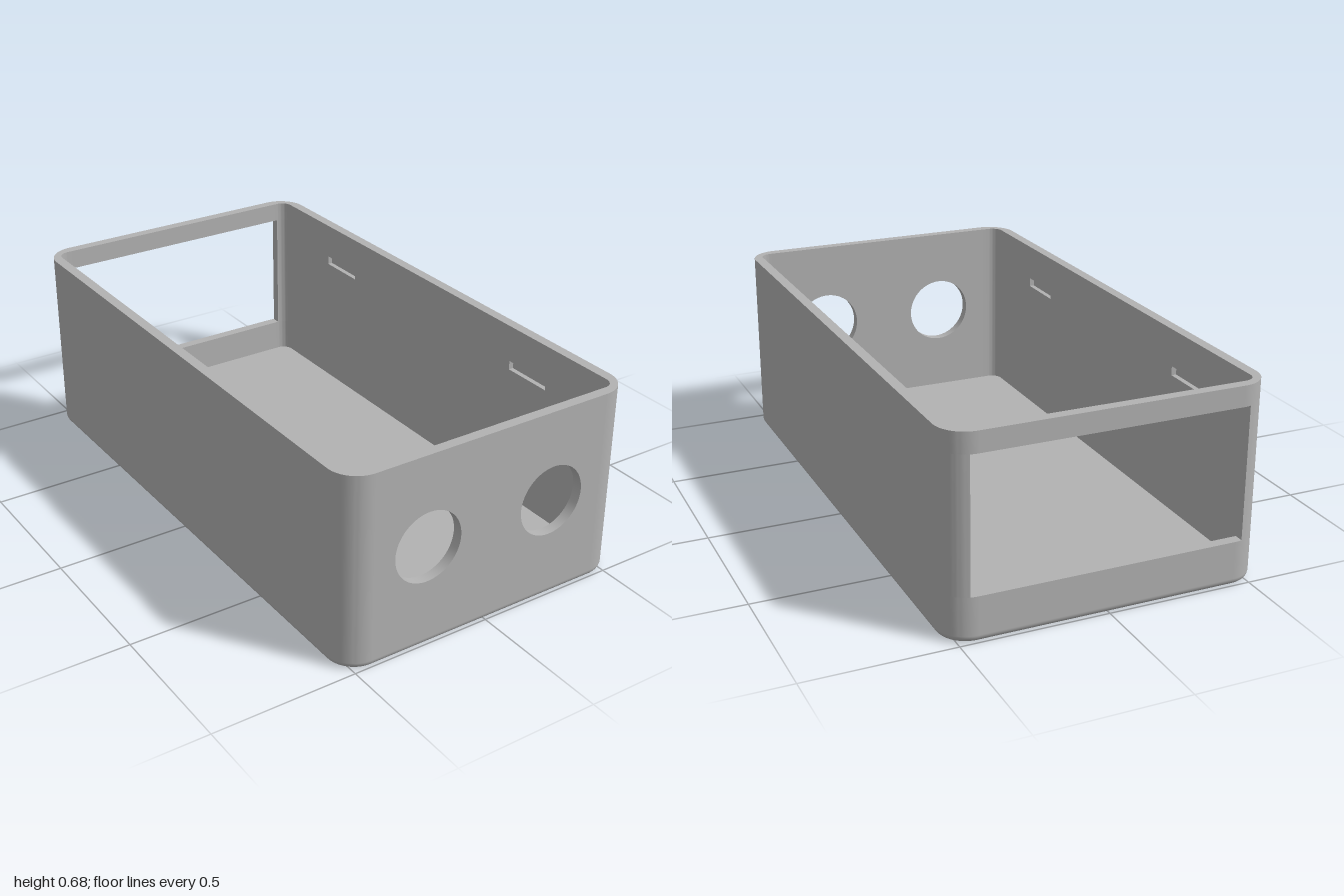
import * as THREE from 'three';
import { toCreasedNormals } from 'three/addons/utils/BufferGeometryUtils.js';

const W = 0.54, L = 1, H = 0.68;         // half width, half length, height
const T = 0.036, R = 0.1, RI = 0.04;     // wall thickness, outer and inner corner radius
const FILLET = 0.025;                    // rounding of the bottom edge
const CX = W - R, CZ = L - R;            // corner centres
const OPEN = { x: W - T - RI, y0: 0.155, y1: 0.61 };  // rear window
const SEG = 18;

export function createModel() {
  const group = new THREE.Group();
  const grey = new THREE.MeshStandardMaterial({ color: 0xb2b2b2 });
  grey.name = 'grey plastic';

  const add = (name, geometry, x = 0, y = 0, z = 0) => {
    const mesh = new THREE.Mesh(geometry, grey);
    mesh.name = name;
    mesh.position.set(x, y, z);
    group.add(mesh);
    return mesh;
  };
  const box = (name, w, h, d, x, y, z) => add(name, new THREE.BoxGeometry(w, h, d), x, y, z);
  const rect = (Type, x0, y0, x1, y1) => new Type([[x0, y0], [x1, y0], [x1, y1], [x0, y1]]
    .map(([x, y]) => new THREE.Vector2(x, y)));
  const extrude = (shape, depth) =>
    new THREE.ExtrudeGeometry(shape, { depth, bevelEnabled: false, curveSegments: 32 });

  // Outline of the tray in plan, inset from the walls
  const outline = (inset, visit) => {
    for (let c = 0; c < 4; c++) {
      const sx = c === 0 || c === 3 ? 1 : -1, sz = c < 2 ? 1 : -1;
      for (let j = 0; j <= SEG; j++) {
        const a = (c + j / SEG) * Math.PI / 2;
        visit(sx * CX + (R - inset) * Math.cos(a), sz * CZ + (R - inset) * Math.sin(a), a);
      }
    }
  };

  // Rounded bottom edge, lofted from inset outlines
  const pos = [], nor = [], idx = [], rings = 8, n = 4 * (SEG + 1);
  for (let k = 0; k <= rings; k++) {
    const p = k / rings * Math.PI / 2;
    outline(FILLET * (1 - Math.sin(p)), (x, z, a) => {
      pos.push(x, FILLET * (1 - Math.cos(p)), z);
      nor.push(Math.cos(a) * Math.sin(p), -Math.cos(p), Math.sin(a) * Math.sin(p));
    });
    if (k === rings) break;
    for (let i = 0; i < n; i++) {
      const a = k * n + i, b = k * n + (i + 1) % n;
      idx.push(a, a + n, b, b, a + n, b + n);
    }
  }
  const edge = new THREE.BufferGeometry();
  edge.setAttribute('position', new THREE.Float32BufferAttribute(pos, 3));
  edge.setAttribute('normal', new THREE.Float32BufferAttribute(nor, 3));
  edge.setIndex(idx);
  add('bottomEdge', edge);

  // Underside and inner floor
  const under = [];
  outline(FILLET, (x, z) => under.push(new THREE.Vector2(x, z)));
  add('underside', new THREE.ShapeGeometry(new THREE.Shape(under)).rotateX(Math.PI / 2));
  box('floor', 2 * (W - T), T - 0.02, 2 * (L - T), 0, (T + 0.02) / 2, 0);

  // Corner posts: round outside, tighter round inside; trimmed beside the rear window
  const post = (name, sx, sz, y0, y1, xMin) => {
    const pts = [], end = Math.acos((xMin - CX) / R);
    for (let j = 0; j <= SEG; j++) {
      const a = end * j / SEG;
      pts.push([CX + R * Math.cos(a), CZ + R * Math.sin(a)]);
    }
    if (xMin < OPEN.x) pts.push([xMin, L - T]);
    for (let j = 0; j <= SEG; j++) {
      const a = Math.PI / 2 * (1 - j / SEG);
      pts.push([W - T - RI + RI * Math.cos(a), L - T - RI + RI * Math.sin(a)]);
    }
    pts.push([W - T, CZ]);
    const shape = new THREE.Shape(pts.map(([x, z]) => new THREE.Vector2(sx * x, -sz * z)));
    const geometry = extrude(shape, y1 - y0).rotateX(-Math.PI / 2);
    add(name, toCreasedNormals(geometry, 0.4), 0, y0, 0);
  };
  for (const sx of [1, -1]) {
    const side = sx > 0 ? 'Left' : 'Right';
    post('front' + side + 'Corner', sx, 1, FILLET, H, CX);
    post('rear' + side + 'CornerLower', sx, -1, FILLET, OPEN.y0, CX);
    post('rear' + side + 'CornerMiddle', sx, -1, OPEN.y0, OPEN.y1, OPEN.x);
    post('rear' + side + 'CornerUpper', sx, -1, OPEN.y1, H, CX);

    // Side wall: solid outer layer, inner layer with two blind latch slots
    const inner = rect(THREE.Shape, -CZ, FILLET, CZ, H);
    for (const z of [-0.555, 0.555]) {
      inner.holes.push(rect(THREE.Path, z - 0.093, 0.52, z + 0.093, 0.552));
    }
    const half = T / 2;
    box('side' + side + 'OuterLayer', half, H - FILLET, 2 * CZ,
      sx * (W - half / 2), (H + FILLET) / 2, 0);
    add('side' + side + 'SlottedLayer', extrude(inner, half).rotateY(Math.PI / 2),
      sx * (W - 1.5 * half) - half / 2, 0, 0);
  }

  // Front wall with two round holes
  const front = rect(THREE.Shape, -CX, FILLET, CX, H);
  for (const x of [-0.24, 0.24]) {
    front.holes.push(new THREE.Path().absarc(x, 0.36, 0.123, 0, Math.PI * 2, true));
  }
  add('frontWall', toCreasedNormals(extrude(front, T), 0.4), 0, 0, L - T);

  // Rear wall strips below and above the window
  for (const [name, y0, y1] of [['rearSill', FILLET, OPEN.y0], ['rearLintel', OPEN.y1, H]]) {
    box(name, 2 * CX, y1 - y0, T, 0, (y0 + y1) / 2, -L + T / 2);
  }
  return group;
}
